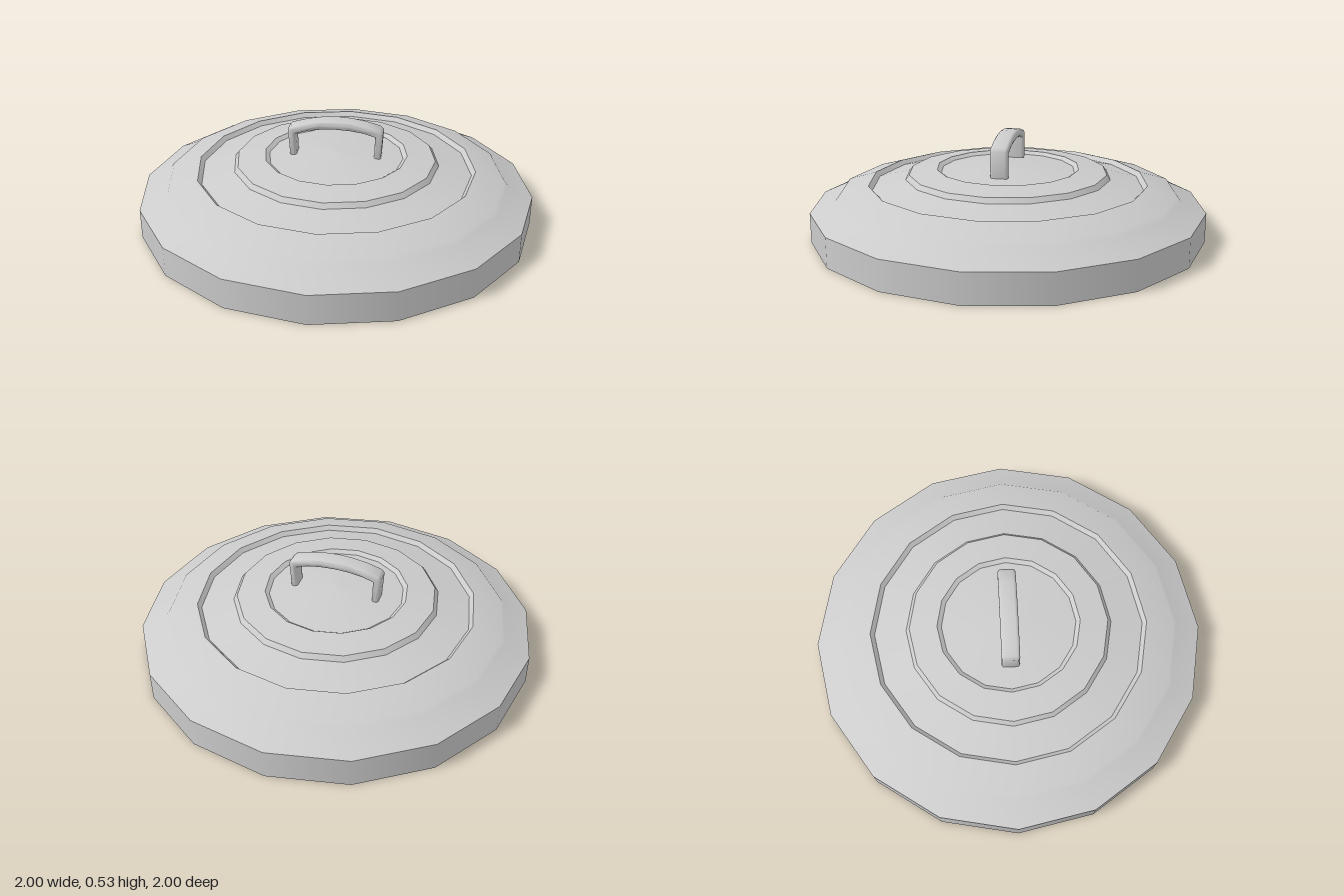
import * as THREE from 'three';
import { toCreasedNormals } from 'three/addons/utils/BufferGeometryUtils.js';

const SIDES = 16;

export function createModel() {
  const model = new THREE.Group();
  model.name = 'lid';
  const material = new THREE.MeshStandardMaterial({ color: 0xcccccc });

  // Each band is a separate lathe, smooth around but sharp at its borders
  const bands = {
    underside: [[0, 0.15], [0.945, 0.1]],
    rimInner: [[0.945, 0.1], [0.945, 0.005]],
    rimEdge: [[0.945, 0.005], [1, 0.005]],
    rimOuter: [[1, 0.005], [1, 0.155]],
    shoulder: [[1, 0.155], [0.872, 0.215], [0.856, 0.235], [0.708, 0.28]],
    outerStepDown: [[0.708, 0.28], [0.688, 0.258]],
    middleRing: [[0.688, 0.258], [0.522, 0.302]],
    middleStepUp: [[0.522, 0.302], [0.504, 0.326]],
    innerRing: [[0.504, 0.326], [0.362, 0.346]],
    innerStepDown: [[0.362, 0.346], [0.341, 0.33]],
    centreDome: [[0.341, 0.33], [0.17, 0.348], [0, 0.358]],
  };
  for (const [name, points] of Object.entries(bands)) {
    const profile = points.map(([r, y]) => new THREE.Vector2(r, y));
    const band = new THREE.Mesh(new THREE.LatheGeometry(profile, SIDES), material);
    band.name = name;
    model.add(band);
  }

  // Arched handle: half outlines mirrored, extruded across z with rounded edges
  const outer = [[0.23, 0.33], [0.24, 0.475], [0.225, 0.492], [0.15, 0.513], [0.075, 0.526]];
  const inner = [[0.075, 0.483], [0.14, 0.473], [0.2, 0.455], [0.196, 0.33]];
  const mirror = (pts) => pts.map(([x, y]) => [-x, y]).reverse();
  const outline = [
    ...outer, [0, 0.531], ...mirror(outer),
    ...mirror(inner), [0, 0.487], ...inner,
  ].map(([x, y]) => new THREE.Vector2(x, y));
  const bevel = 0.015;
  const depth = 0.09 - 2 * bevel;
  const geometry = new THREE.ExtrudeGeometry(new THREE.Shape(outline), {
    depth, bevelEnabled: true, bevelSize: bevel, bevelThickness: bevel,
    bevelOffset: -bevel, bevelSegments: 3,
  });
  geometry.translate(0, 0, -depth / 2);
  const handle = new THREE.Mesh(toCreasedNormals(geometry, 0.9), material);
  handle.name = 'handle';
  model.add(handle);

  return model;
}
